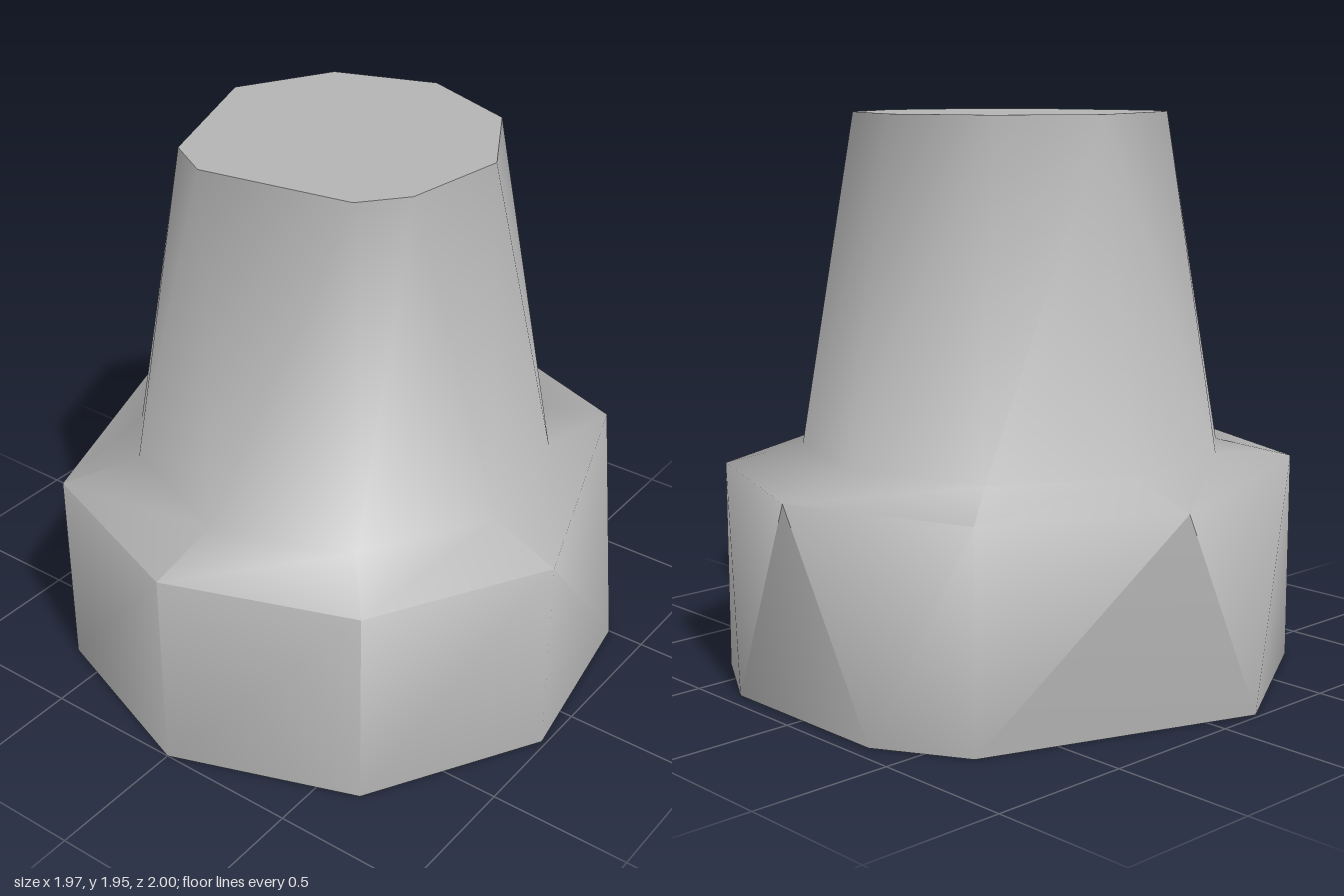
import * as THREE from 'three';
import { toCreasedNormals } from 'three/addons/utils/BufferGeometryUtils.js';

// Irregular rings: radius, height and corner angles in degrees (0 = back, 90 = +x)
const RINGS = [
  { r: 1, y: 0, angles: [20, 40, 60, 100, 140, 180, 220, 260, 320, 340] },
  { r: 1, y: 0.735, angles: [0, 40, 100, 140, 180, 220, 280, 320] },
  { r: 0.73, y: 0.8, angles: [0, 40, 60, 100, 140, 180, 220, 240, 280, 320] },
  { r: 0.54, y: 1.95, angles: [0, 40, 80, 120, 140, 200, 220, 280, 320] },
];

const ringPoints = ({ r, y, angles }) => angles.flatMap((deg) => {
  const t = THREE.MathUtils.degToRad(deg);
  return [r * Math.sin(t), y, -r * Math.cos(t)];
});

function makeGeometry(positions, index) {
  const g = new THREE.BufferGeometry();
  g.setAttribute('position', new THREE.Float32BufferAttribute(positions, 3));
  g.setIndex(index);
  g.computeVertexNormals();
  return g;
}

// Triangles joining two rings with different corner counts, by shortest diagonal
function stitch(lower, upper, lowerStart, upperStart) {
  const a = lower.angles, b = upper.angles, out = [];
  const angle = (list, i) => list[i % list.length] + 360 * Math.floor(i / list.length);
  const A = (i) => lowerStart + (i % a.length);
  const B = (j) => upperStart + (j % b.length);
  let i = 0, j = 0;
  while (i < a.length || j < b.length) {
    const stepLower = Math.abs(angle(a, i + 1) - angle(b, j));
    const stepUpper = Math.abs(angle(b, j + 1) - angle(a, i));
    if (j === b.length || (i < a.length && stepLower <= stepUpper)) {
      out.push(A(i), B(j), A(i + 1));
      i++;
    } else {
      out.push(A(i), B(j), B(j + 1));
      j++;
    }
  }
  return out;
}

// Flat polygon closing a ring
function cap(ring, facesUp) {
  const index = [];
  for (let i = 1; i < ring.angles.length - 1; i++) {
    index.push(0, ...(facesUp ? [i + 1, i] : [i, i + 1]));
  }
  return makeGeometry(ringPoints(ring), index);
}

export function createModel() {
  const group = new THREE.Group();
  group.name = 'taperedPlug';
  const grey = new THREE.MeshStandardMaterial({ color: 0xb4b4b4 });
  grey.name = 'grey';

  const add = (name, geometry) => {
    const mesh = new THREE.Mesh(geometry, grey);
    mesh.name = name;
    group.add(mesh);
  };

  // Wide base, sloping shoulder and tapered neck in one smooth skin
  const index = [];
  let start = 0;
  for (let k = 0; k < RINGS.length - 1; k++) {
    const next = start + RINGS[k].angles.length;
    index.push(...stitch(RINGS[k], RINGS[k + 1], start, next));
    start = next;
  }
  add('body', toCreasedNormals(makeGeometry(RINGS.flatMap(ringPoints), index), 1.36));

  // Flat ends
  add('underside', cap(RINGS[0], false));
  add('topFace', cap(RINGS[3], true));

  return group;
}
